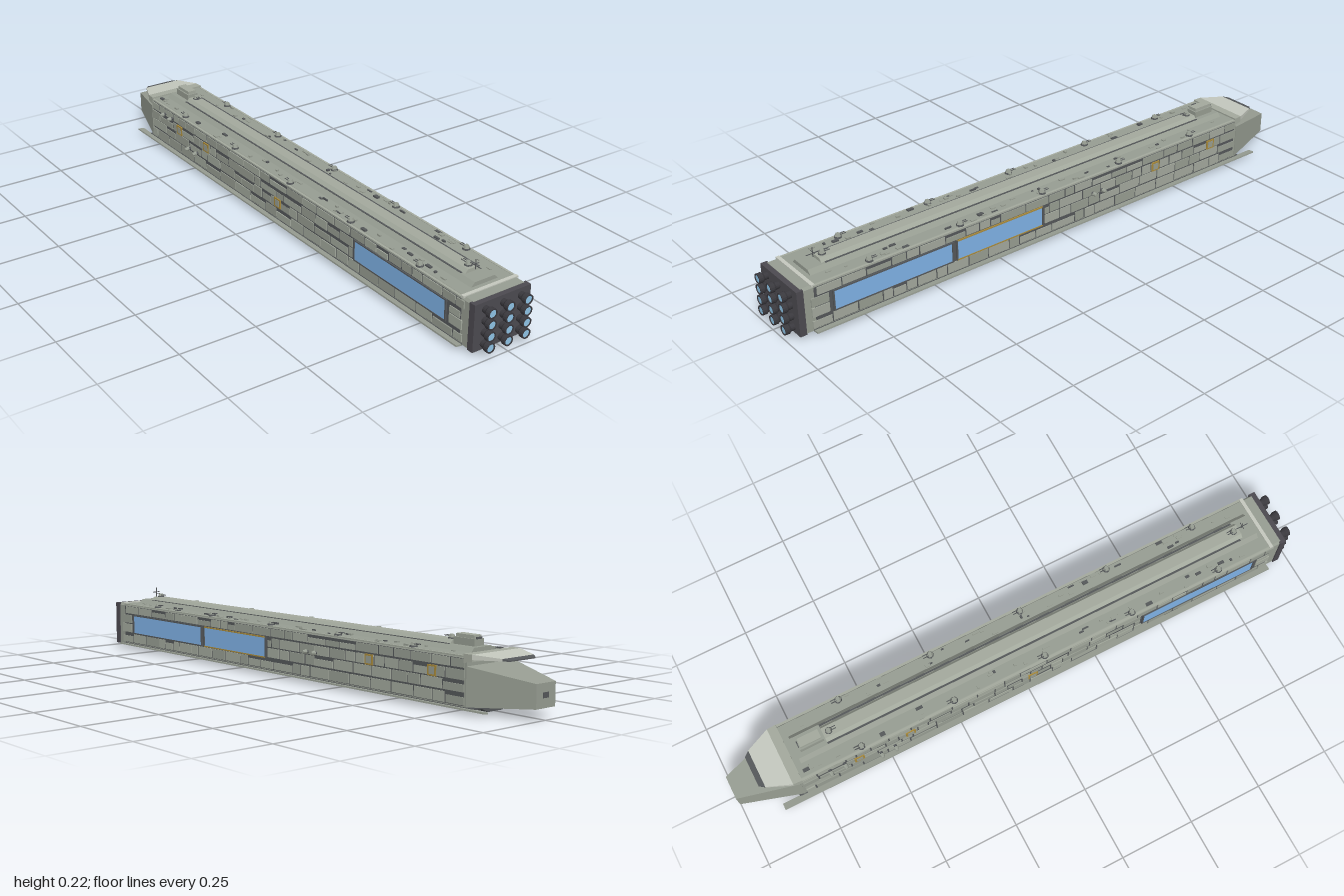
import * as THREE from 'three';

const mat = (color, side = THREE.FrontSide) =>
  new THREE.MeshStandardMaterial({ color, flatShading: true, side });

export function createModel() {
  const ship = new THREE.Group();
  ship.name = 'ship';
  const hullMat = mat(0x979d92), plateMat = mat(0xa3a99d), darkMat = mat(0x55585a);
  const engineMat = mat(0x4c4a50), glowMat = mat(0x8fc4e6), glassMat = mat(0x7fb2e6);
  const paleMat = mat(0xc4c8be), goldMat = mat(0xa88a3c);

  let seed = 7;
  const rand = (a, b) => {
    seed = (seed * 16807) % 2147483647;
    return a + (b - a) * (seed / 2147483647);
  };
  const add = (name, geo, m, x = 0, y = 0, z = 0, parent = ship) => {
    const mesh = new THREE.Mesh(geo, m);
    mesh.name = name;
    mesh.position.set(x, y, z);
    parent.add(mesh);
    return mesh;
  };
  const box = (name, w, h, d, m, x, y, z, parent) =>
    add(name, new THREE.BoxGeometry(w, h, d), m, x, y, z, parent);
  const group = (name, x = 0, y = 0, z = 0) => {
    const g = new THREE.Group();
    g.name = name;
    g.position.set(x, y, z);
    ship.add(g);
    return g;
  };
  // Mirrored half profile [x, y] from bottom to top, run along z
  const prism = (name, half, z0, z1, m) => {
    const pts = [...half, ...half.slice().reverse().map(([x, y]) => [-x, y])];
    const shape = new THREE.Shape(pts.map(([x, y]) => new THREE.Vector2(x, y)));
    return add(name, new THREE.ExtrudeGeometry(shape, { depth: z1 - z0, bevelEnabled: false }), m, 0, 0, z0);
  };
  // Box whose two z ends are given as [z, halfWidth, bottom, top]
  const taper = (name, front, back, m) => {
    const geo = new THREE.BoxGeometry(2, 2, 2), p = geo.attributes.position;
    for (let i = 0; i < p.count; i++) {
      const [z, w, b, t] = p.getZ(i) > 0 ? front : back;
      p.setXYZ(i, p.getX(i) * w, p.getY(i) > 0 ? t : b, z);
    }
    geo.computeVertexNormals();
    return add(name, geo, m);
  };

  // Main hull, keel and side fins
  prism('hull', [[0.098, 0.016], [0.098, 0.158], [0.092, 0.166]], -0.8, 0.95, hullMat);
  prism('keel', [[0.03, 0.002], [0.06, 0.016]], -0.82, 0.92, darkMat);
  box('keelPlate', 0.2, 0.006, 1.74, darkMat, 0, 0.017, 0.05);
  for (const s of [-1, 1]) {
    const fin = box('sideFin', 0.022, 0.005, 1.8, hullMat, s * 0.108, 0.017, 0.02);
    fin.rotation.z = s * 0.12;
    box('deckRim', 0.008, 0.005, 1.7, plateMat, s * 0.098, 0.163, 0.06);
  }
  box('aftDeckBand', 0.2, 0.006, 0.012, paleMat, 0, 0.166, 0.912);

  // Nose, visor and bow hatch
  taper('nose', [-0.8, 0.1, 0.021, 0.136], [-1, 0.04, 0.036, 0.106], hullMat);
  taper('visor', [-0.79, 0.102, 0.145, 0.171], [-0.82, 0.1, 0.15, 0.171], plateMat);
  taper('visorSlope', [-0.82, 0.1, 0.156, 0.171], [-0.9, 0.066, 0.158, 0.165], paleMat);
  taper('visorTip', [-0.9, 0.066, 0.158, 0.165], [-0.918, 0.052, 0.158, 0.161], darkMat);
  box('bowHatch', 0.024, 0.016, 0.004, darkMat, 0, 0.072, -0.999);

  // Stepped dorsal ridge
  prism('ridgeBase', [[0.05, 0.165], [0.036, 0.179]], -0.77, 0.89, hullMat);
  prism('ridgeTop', [[0.028, 0.179], [0.018, 0.19]], -0.67, 0.84, plateMat);
  for (const s of [-1, 1]) box('ridgeChannel', 0.006, 0.003, 1.5, darkMat, s * 0.032, 0.179, 0.08);

  // Bridge
  taper('bridge', [-0.675, 0.02, 0.178, 0.2], [-0.755, 0.02, 0.178, 0.2], hullMat);
  taper('bridgeTop', [-0.68, 0.015, 0.2, 0.21], [-0.75, 0.015, 0.2, 0.21], plateMat);
  box('bridgeWindow', 0.022, 0.006, 0.003, darkMat, 0, 0.202, -0.755);

  // Deck turrets with twin barrels
  const turret = (x, y, z, dir) => {
    const g = group('turret', x, y, z);
    add('turretBase', new THREE.CylinderGeometry(0.011, 0.013, 0.006, 8), darkMat, 0, 0.003, 0, g);
    add('turretHead', new THREE.CylinderGeometry(0.007, 0.011, 0.009, 6), hullMat, 0, 0.01, 0, g);
    for (const s of [-1, 1]) {
      const barrel = add('barrel', new THREE.CylinderGeometry(0.0015, 0.0015, 0.022, 6), darkMat,
        s * 0.004, 0.01, dir * 0.014, g);
      barrel.rotation.x = Math.PI / 2;
    }
  };
  for (const z of [-0.58, -0.255, 0.07, 0.39, 0.715]) for (const s of [-1, 1]) turret(s * 0.086, 0.165, z, -1);
  turret(0, 0.188, -0.65, 1);
  turret(0, 0.188, 0.82, -1);

  // Antenna mast
  const mast = group('antenna', 0, 0.19, 0.85);
  box('mast', 0.002, 0.032, 0.002, darkMat, 0, 0.016, 0, mast);
  box('crossbar', 0.024, 0.002, 0.002, darkMat, 0, 0.017, 0, mast);
  box('boom', 0.002, 0.002, 0.045, darkMat, 0, 0.012, 0, mast);

  // Windows with dark frames
  const windows = [[1, 0.43, 0.85], [1, 0.08, 0.415], [-1, 0.43, 0.85]];
  for (const [s, a, b] of windows) {
    const mid = (a + b) / 2, len = b - a;
    box('windowGlass', 0.004, 0.062, len - 0.008, glassMat, s * 0.101, 0.093, mid);
    for (const y of [0.06, 0.126]) box('windowFrame', 0.007, 0.004, len, a < 0.1 ? goldMat : darkMat, s * 0.101, y, mid);
    for (const z of [a, b]) box('windowFrame', 0.007, 0.07, 0.005, darkMat, s * 0.101, 0.093, z);
  }

  // Side armour plates in rows, leaving the windows clear
  const rows = [[0.025, 0.056], [0.062, 0.092], [0.096, 0.125], [0.131, 0.156]];
  for (const s of [-1, 1]) {
    box('sideRecess', 0.002, 0.134, 1.7, darkMat, s * 0.0985, 0.09, 0.06);
    rows.forEach(([y0, y1], r) => {
      for (let z = -0.795; z < 0.9;) {
        let len = Math.min(rand(0.035, 0.1), 0.925 - z);
        const blocked = windows.find(([side, a, b]) =>
          side === s && (r === 1 || r === 2) && z + len > a - 0.008 && z < b + 0.008);
        if (blocked) {
          len = blocked[1] - 0.008 - z;
          if (len < 0.012) { z = blocked[2] + 0.012; continue; }
        }
        const t = rand(0.004, 0.009), cut = rand(0, 1) < 0.25 ? 0.008 : 0;
        box('armourPlate', t, y1 - y0 - cut, len - 0.005, rand(0, 1) < 0.5 ? plateMat : hullMat,
          s * 0.0985, (y0 + y1 - cut) / 2, z + len / 2);
        z += len;
      }
    });
  }

  // Gold-framed side hatches
  for (const [s, z, y] of [[1, -0.41, 0.11], [1, -0.67, 0.11], [-1, -0.6, 0.11], [-1, -0.42, 0.11], [-1, 0.02, 0.08]]) {
    box('hatchFrame', 0.008, 0.032, 0.034, goldMat, s * 0.1, y, z);
    box('hatchDoor', 0.01, 0.022, 0.022, hullMat, s * 0.1, y, z);
  }

  // Side gun pods
  for (const [s, y, z] of [[-1, 0.138, -0.7], [-1, 0.138, -0.65], [-1, 0.067, -0.53], [-1, 0.067, -0.48],
    [1, 0.103, -0.17], [1, 0.103, -0.13]]) {
    const pod = group('sidePod', s * 0.1, y, z);
    pod.rotation.z = -s * Math.PI / 2;
    add('podArm', new THREE.CylinderGeometry(0.004, 0.006, 0.012, 8), darkMat, 0, 0.005, 0, pod);
    add('podHead', new THREE.CylinderGeometry(0.005, 0.008, 0.014, 8), hullMat, 0, 0.016, 0, pod);
  }

  // Small deck fittings
  for (let i = 0; i < 70; i++) {
    const h = rand(0.003, 0.007);
    box('deckFitting', rand(0.004, 0.012), h, rand(0.006, 0.024), i % 3 ? hullMat : darkMat,
      (i % 2 ? 1 : -1) * rand(0.056, 0.091), 0.165 + h / 2, rand(-0.77, 0.89));
  }

  // Engine block with a grid of nozzles
  box('engineBlock', 0.204, 0.15, 0.022, engineMat, 0, 0.09, 0.956);
  for (const x of [-0.065, 0, 0.065]) for (const y of [0.034, 0.07, 0.107, 0.143]) {
    const profile = [[0.011, 0], [0.012, 0.014], [0.016, 0.02], [0.016, 0.034], [0.012, 0.034], [0.012, 0.03]];
    const nozzle = add('nozzle', new THREE.LatheGeometry(profile.map(p => new THREE.Vector2(...p)), 16),
      mat(0x3a393e, THREE.DoubleSide), x, y, 0.966);
    nozzle.rotation.x = Math.PI / 2;
    add('nozzleGlow', new THREE.CircleGeometry(0.0125, 16), glowMat, x, y, 0.998);
  }
  return ship;
}
